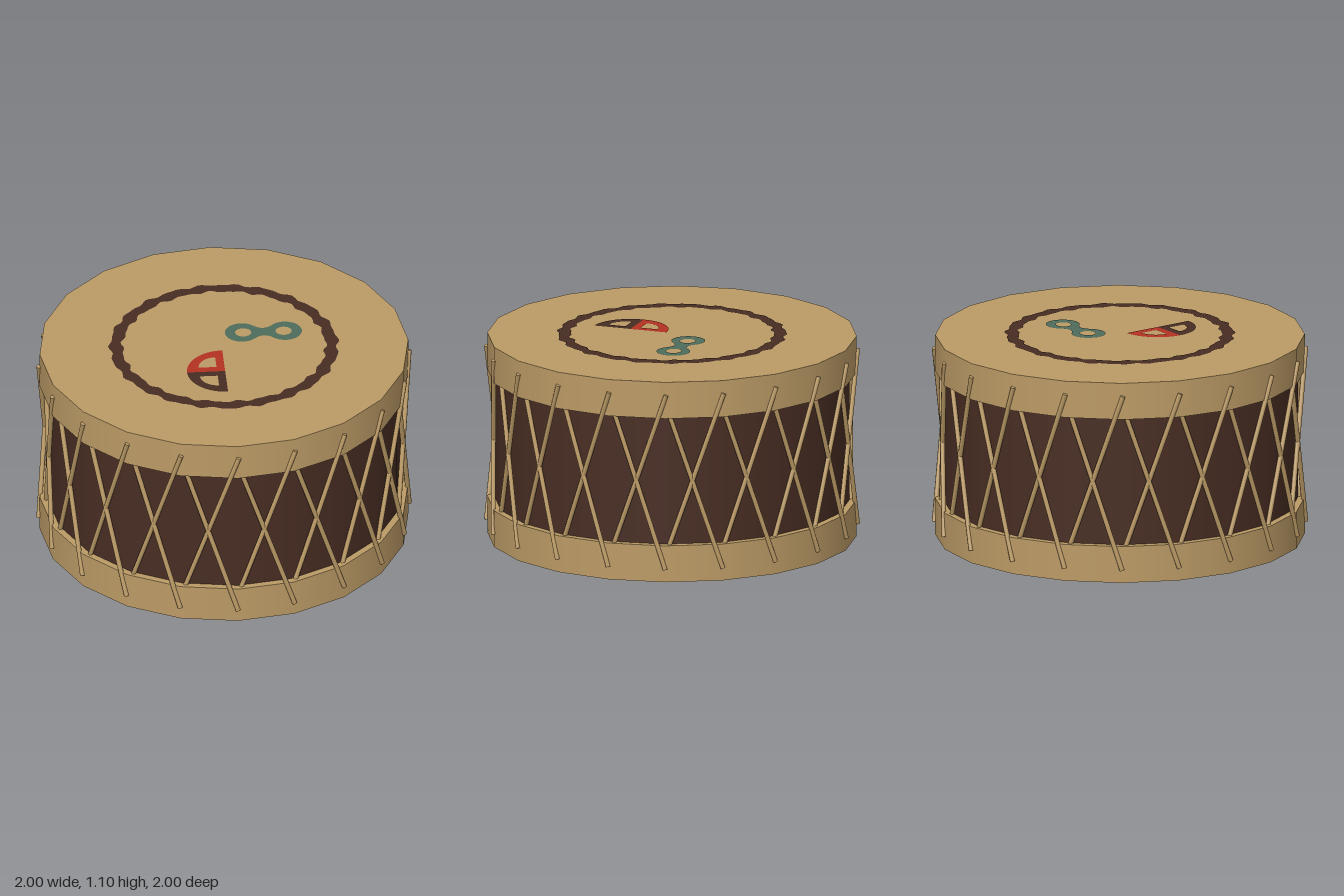
import * as THREE from 'three';

const SIDES = 20, STEP = Math.PI * 2 / SIDES;

const material = (name, color) => new THREE.MeshStandardMaterial({ name, color });

export function createModel() {
  const tan = material('tan hide', 0xbc9b66);
  const brown = material('dark brown wood', 0x482d23);
  const teal = material('teal paint', 0x4e6c5b);
  const red = material('red paint', 0xb43122);

  const drum = new THREE.Group();
  drum.name = 'drum';
  const add = (name, geometry, mat, parent = drum) => {
    const mesh = new THREE.Mesh(geometry, mat);
    mesh.name = name;
    parent.add(mesh);
    return mesh;
  };

  // Wooden shell between two wider hide rims
  add('shell', new THREE.CylinderGeometry(0.945, 0.945, 0.72, SIDES, 1, true), brown).position.y = 0.55;
  add('bottomRim', new THREE.CylinderGeometry(0.982, 0.982, 0.2, SIDES), tan).position.y = 0.1;
  add('topRim', new THREE.CylinderGeometry(0.982, 0.982, 0.2, SIDES), tan).position.y = 1.0;

  // Crossed ropes: each has one end over a rim and the other tucked under the opposite rim
  const ropes = new THREE.Group();
  ropes.name = 'ropes';
  drum.add(ropes);
  const onRim = (angle, radius, y) =>
    new THREE.Vector3(Math.sin(angle) * radius, y, Math.cos(angle) * radius);
  const addRope = (name, a, b) => {
    const rope = add(name, new THREE.CylinderGeometry(0.013, 0.013, a.distanceTo(b), 8), tan, ropes);
    rope.position.copy(a).add(b).multiplyScalar(0.5);
    rope.quaternion.setFromUnitVectors(new THREE.Vector3(0, 1, 0), b.clone().sub(a).normalize());
  };
  for (let i = 0; i < SIDES; i++) {
    const t = i * STEP;
    addRope('ropeOverTop', onRim(t - STEP - 0.022, 0.951, 0.075), onRim(t + 0.005, 0.987, 1.03));
    addRope('ropeOverBottom', onRim(t, 0.987, 0.07), onRim(t - STEP - 0.018, 0.951, 1.025));
  }

  // Painted marks lie flat on the drum head; shape y points to the back
  const paint = (name, shape, mat) => {
    const geometry = new THREE.ShapeGeometry(shape, 16);
    geometry.rotateX(-Math.PI / 2);
    add(name, geometry, mat).position.y = 1.103;
  };

  // Uneven hand-painted ring
  const wobblyLoop = (radius, phase) => {
    const points = [];
    for (let i = 0; i < 160; i++) {
      const a = i / 160 * Math.PI * 2;
      const r = radius + 0.007 * Math.sin(23 * a + phase) + 0.005 * Math.sin(37 * a + 2 * phase);
      points.push(new THREE.Vector2(Math.cos(a) * r, Math.sin(a) * r));
    }
    return points;
  };
  const ring = new THREE.Shape(wobblyLoop(0.605, 0.4));
  ring.holes.push(new THREE.Path(wobblyLoop(0.54, 1.9)));
  paint('paintedRing', ring, brown);

  // Figure-eight mark with two oval holes
  const q = Math.PI / 4, r = 0.09, cx1 = 0.105, cx2 = 0.335, cy = 0.13, d = r * Math.SQRT1_2;
  const eight = new THREE.Shape();
  eight.absarc(cx1, cy, r, q, -q, false);
  eight.quadraticCurveTo(0.22, cy - 0.01, cx2 - d, cy - d);
  eight.absarc(cx2, cy, r, -3 * q, 3 * q, false);
  eight.quadraticCurveTo(0.22, cy + 0.01, cx1 + d, cy + d);
  for (const cx of [cx1 + 0.007, cx2 - 0.007]) {
    const hole = new THREE.Path();
    hole.absellipse(cx, cy, 0.043, 0.04, 0, Math.PI * 2, true);
    eight.holes.push(hole);
  }
  paint('figureEightMark', eight, teal);

  // Half-round mark made of two mirrored quarters, each with a window
  const quarter = (path, x, y, radius, s) => {
    path.moveTo(x, y);
    path.lineTo(x, y + s * radius);
    path.absarc(x, y, radius, s * Math.PI / 2, s * Math.PI, s < 0);
    path.lineTo(x, y);
    return path;
  };
  for (const [name, s, mat] of [['redQuarter', 1, red], ['brownQuarter', -1, brown]]) {
    const shape = quarter(new THREE.Shape(), -0.012, -0.24, 0.203, s);
    shape.holes.push(quarter(new THREE.Path(), -0.055, -0.24 + s * 0.043, 0.095, s));
    paint(name, shape, mat);
  }

  return drum;
}
